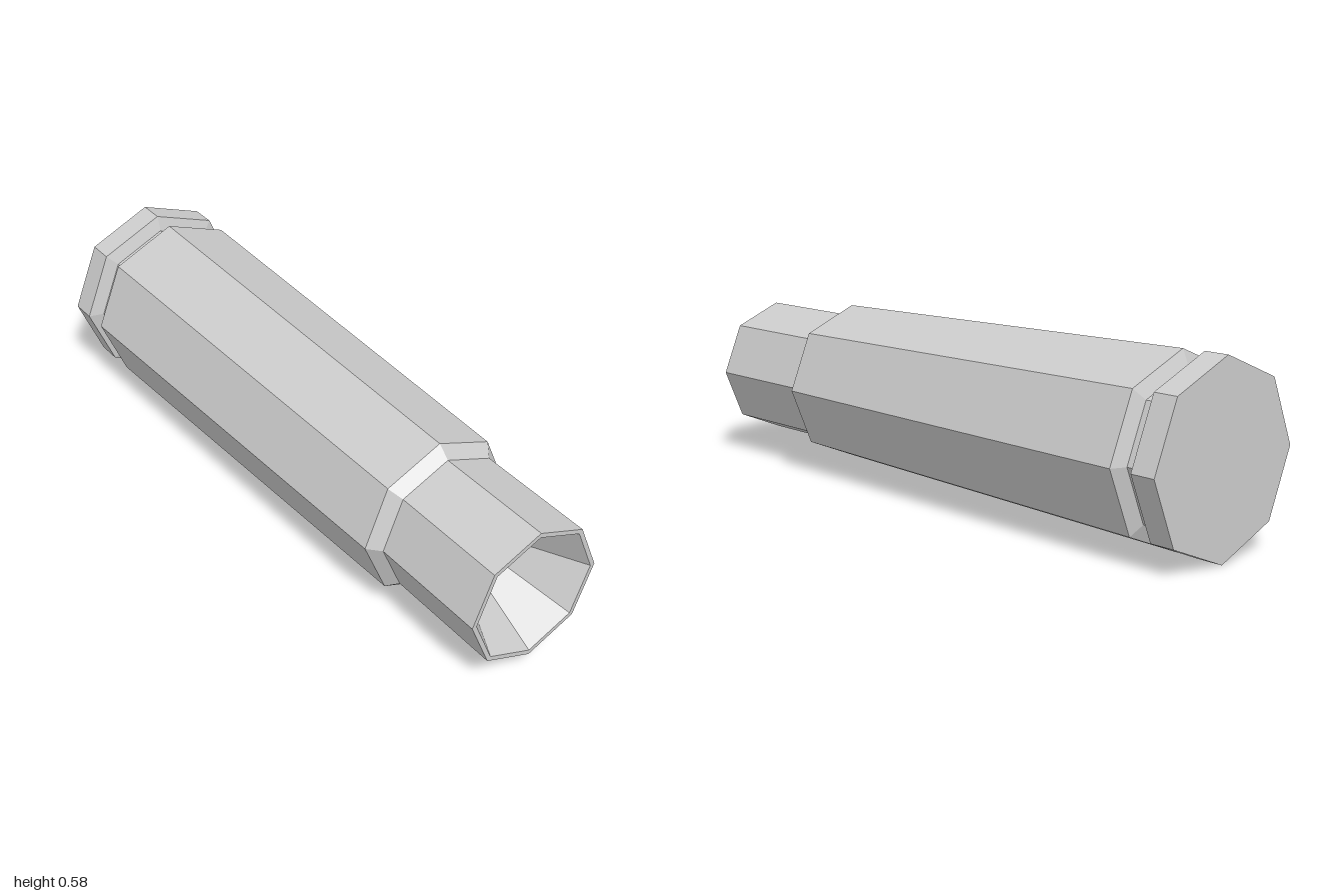
import * as THREE from 'three';

export function createModel() {
  const group = new THREE.Group();
  group.name = 'casing';
  const metal = new THREE.MeshStandardMaterial({ color: 0xcccccc });
  metal.name = 'grey metal';

  // Octagonal faceted section turned about the x axis; profile is [x, radius]
  const addSection = (name, profile) => {
    const points = profile.map(([x, r]) => new THREE.Vector2(r, x));
    const geometry = new THREE.LatheGeometry(points, 8).toNonIndexed();
    geometry.rotateZ(-Math.PI / 2);
    geometry.computeVertexNormals();
    const mesh = new THREE.Mesh(geometry, metal);
    mesh.name = name;
    mesh.position.y = 0.29;
    group.add(mesh);
  };

  // Closed base with its rim
  addSection('baseRim', [[-1, 0], [-1, 0.29], [-0.92, 0.29]]);
  // Narrow groove between rim and body
  addSection('extractorGroove', [[-0.92, 0.29], [-0.905, 0.242], [-0.865, 0.242], [-0.845, 0.288]]);
  // Long tapering body
  addSection('body', [[-0.845, 0.288], [0.577, 0.257]]);
  // Shoulder and straight neck
  addSection('shoulder', [[0.577, 0.257], [0.615, 0.222]]);
  addSection('neck', [[0.615, 0.222], [1, 0.222]]);
  // Thin lip and conical hollow
  addSection('mouthLip', [[1, 0.222], [1, 0.207]]);
  addSection('mouthHollow', [[1, 0.207], [0.6, 0]]);

  return group;
}
